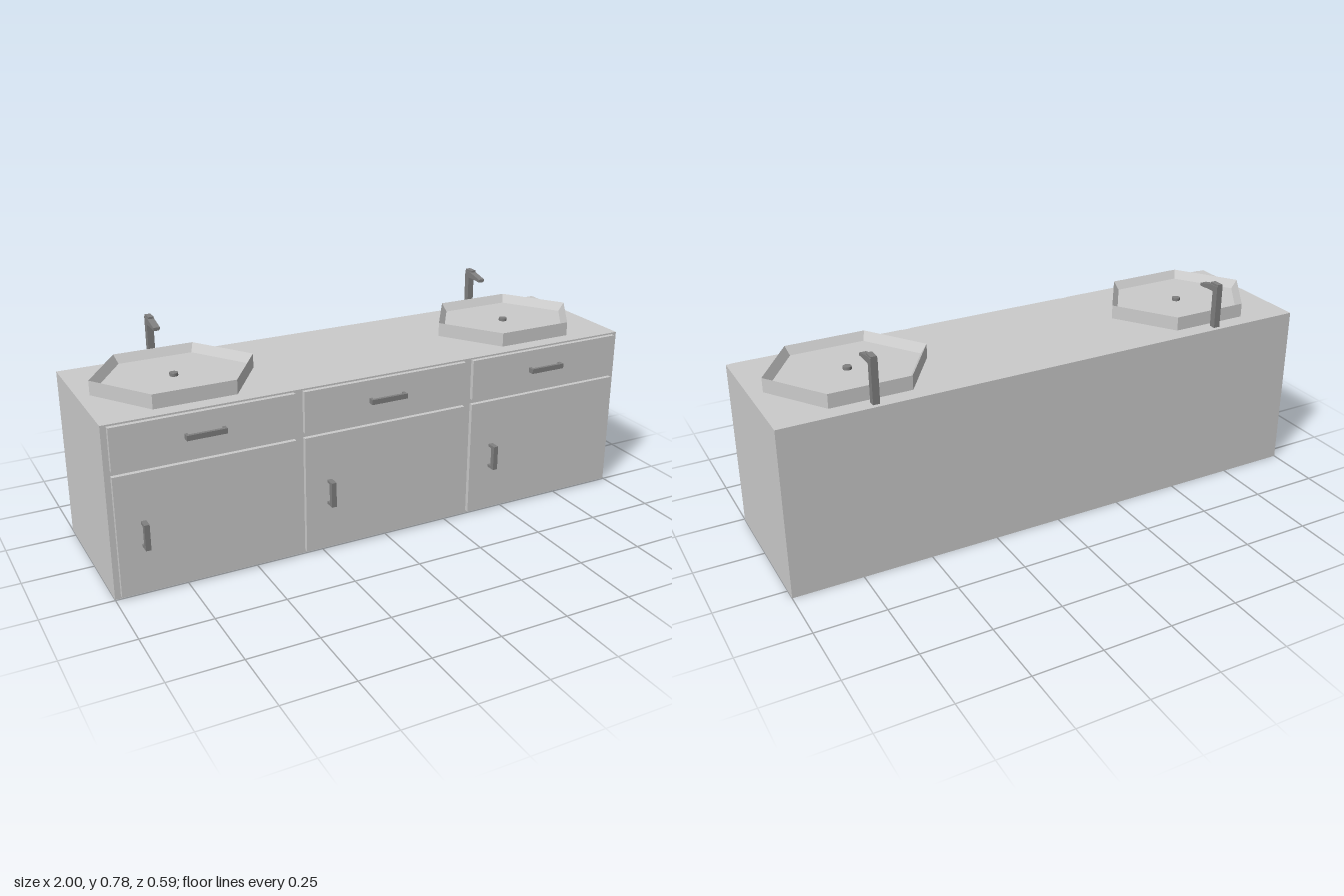
import * as THREE from 'three';

const body = new THREE.MeshStandardMaterial({ color: 0xcccccc, flatShading: true });
const metal = new THREE.MeshStandardMaterial({ color: 0x808080, flatShading: true });

// Box given by its extents on each axis
function box(name, mat, [x0, x1], [y0, y1], [z0, z1]) {
  const mesh = new THREE.Mesh(new THREE.BoxGeometry(x1 - x0, y1 - y0, z1 - z0), mat);
  mesh.name = name;
  mesh.position.set((x0 + x1) / 2, (y0 + y1) / 2, (z0 + z1) / 2);
  return mesh;
}

// U-shaped pull lying along x, its feet at z = 0
function pull(name, length, depth, width, bar, foot) {
  const h = length / 2;
  const s = new THREE.Shape([
    [-h, 0], [-h + foot, 0], [-h + foot, depth - bar], [h - foot, depth - bar],
    [h - foot, 0], [h, 0], [h, depth], [-h, depth],
  ].map(([x, y]) => new THREE.Vector2(x, y)));
  const g = new THREE.ExtrudeGeometry(s, { depth: width, bevelEnabled: false });
  g.translate(0, 0, -width / 2).rotateX(Math.PI / 2);
  const mesh = new THREE.Mesh(g, metal);
  mesh.name = name;
  return mesh;
}

// Hexagonal bowl with sloping inner walls, and its drain
function basin() {
  const group = new THREE.Group();
  group.name = 'basin';
  const profile = [[0.289, 0], [0.289, 0.051], [0.266, 0.02], [0, 0.02]]
    .map(([r, y]) => new THREE.Vector2(r, y));
  const g = new THREE.LatheGeometry(profile, 6, Math.PI / 2);
  g.scale(1, 1, 0.853);
  const bowl = new THREE.Mesh(g, body);
  bowl.name = 'bowl';
  const drain = new THREE.Mesh(new THREE.CylinderGeometry(0.015, 0.015, 0.012, 20), metal);
  drain.name = 'drain';
  drain.position.y = 0.025;
  group.add(bowl, drain);
  return group;
}

// Square post with a tapering spout, nozzle and flat lever
function faucet() {
  const group = new THREE.Group();
  group.name = 'faucet';
  const w = 0.024;
  const side = new THREE.Shape([
    [-0.279, 0.612], [-0.254, 0.612], [-0.254, 0.751], [-0.18, 0.75],
    [-0.18, 0.759], [-0.24, 0.773], [-0.279, 0.775],
  ].map(([z, y]) => new THREE.Vector2(-z, y)));
  const g = new THREE.ExtrudeGeometry(side, { depth: w, bevelEnabled: false });
  g.translate(0, 0, -w / 2).rotateY(Math.PI / 2);
  const spout = new THREE.Mesh(g, metal);
  spout.name = 'postAndSpout';
  group.add(
    spout,
    box('nozzle', metal, [-0.009, 0.009], [0.747, 0.752], [-0.202, -0.181]),
    box('lever', metal, [-0.01, 0.01], [0.774, 0.781], [-0.279, -0.238]),
  );
  return group;
}

export function createModel() {
  const model = new THREE.Group();
  model.name = 'doubleVanity';
  model.add(box('cabinet', body, [-1, 1], [0, 0.616], [-0.296, 0.246]));

  // Three bays, each with a drawer above a door
  for (const x of [-0.664, 0, 0.664]) {
    const span = [x - 0.316, x + 0.316];
    model.add(box('drawerFront', body, span, [0.461, 0.61], [0.246, 0.262]));
    model.add(box('door', body, span, [0.01, 0.442], [0.246, 0.262]));

    const drawerPull = pull('drawerHandle', 0.138, 0.025, 0.018, 0.011, 0.01);
    drawerPull.position.set(x - 0.003, 0.536, 0.26);
    const doorPull = pull('doorHandle', 0.092, 0.038, 0.018, 0.018, 0.01);
    doorPull.rotation.z = Math.PI / 2;
    doorPull.position.set(x - 0.226, 0.226, 0.26);
    model.add(drawerPull, doorPull);
  }

  // A basin and faucet at each end of the counter
  for (const x of [-0.668, 0.663]) {
    const bowl = basin();
    bowl.position.set(x, 0.616, -0.022);
    const tap = faucet();
    tap.position.x = x;
    model.add(bowl, tap);
  }
  return model;
}
